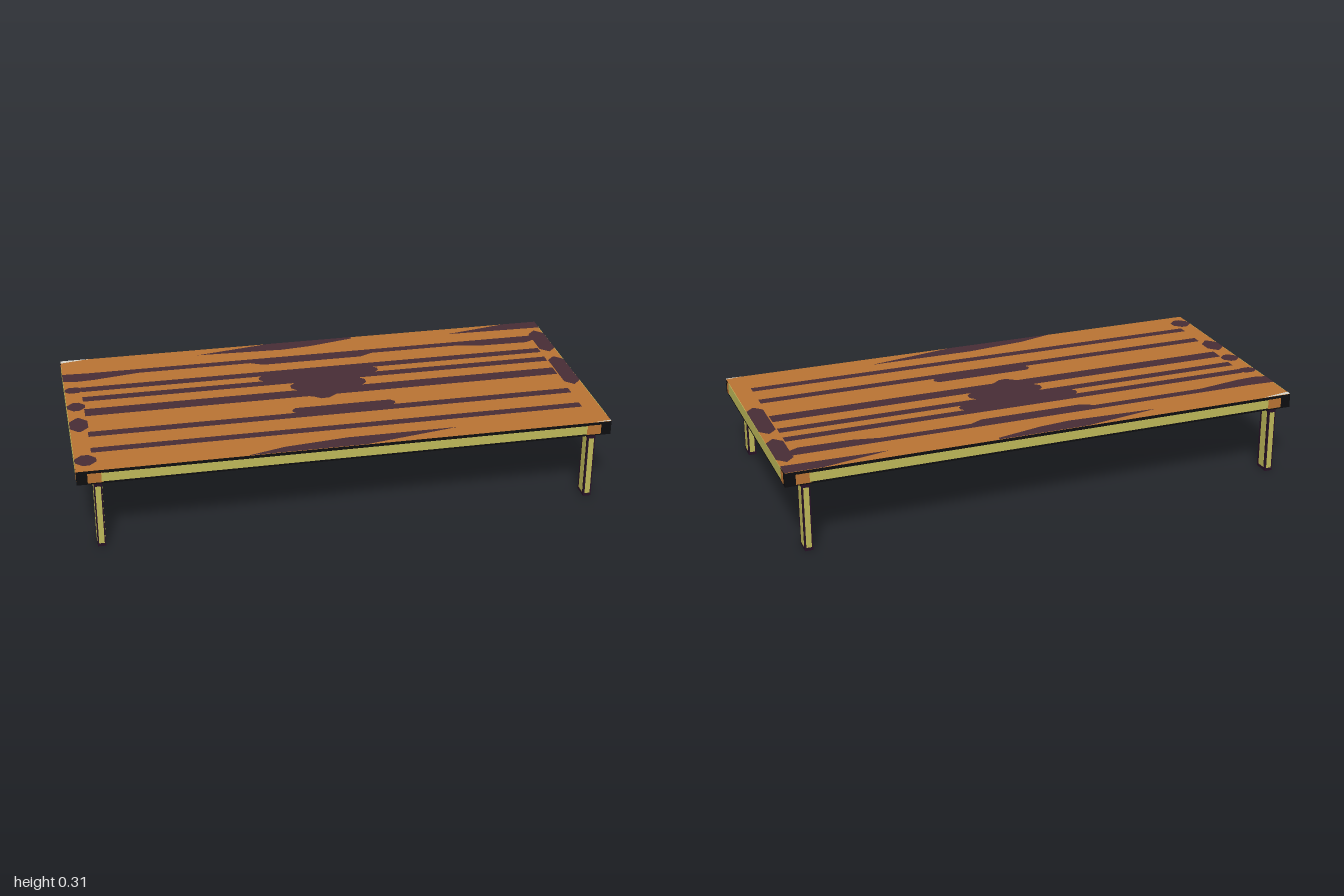
import * as THREE from 'three';

const mat = (name, color) => {
  const m = new THREE.MeshStandardMaterial({ color });
  m.name = name;
  return m;
};

export function createModel() {
  const wood = mat('warm wood', 0xb87333);
  const grain = mat('dark grain', 0x472c35);
  const olive = mat('olive trim', 0xbdb758);
  const black = mat('black frame', 0x0d0d0f);
  const plum = mat('dark plum legs', 0x261126);
  const pale = mat('pale corner', 0xd6d2c8);

  const W = 1.998, D = 0.94, Y0 = 0.26, Y1 = 0.314, T = 0.002;
  const model = new THREE.Group();
  model.name = 'lowTable';

  function box(parent, name, size, pos, material) {
    const mesh = new THREE.Mesh(new THREE.BoxGeometry(...size), material);
    mesh.name = name;
    mesh.position.set(...pos);
    parent.add(mesh);
    return mesh;
  }

  // Table slab: black rim, wood top and underside
  box(model, 'tableSlab', [W, Y1 - Y0, D], [0, (Y0 + Y1) / 2, 0],
    [black, black, wood, wood, black, black]);

  // Flat patch lying on a horizontal surface, outlined in x, z
  function patch(parent, name, points, material) {
    const shape = new THREE.Shape(points.map(([x, z]) => new THREE.Vector2(x, -z)));
    const mesh = new THREE.Mesh(new THREE.ShapeGeometry(shape).rotateX(-Math.PI / 2), material);
    mesh.name = name;
    parent.add(mesh);
  }
  const rect = (x0, x1, z0, z1) => [[x0, z0], [x0, z1], [x1, z1], [x1, z0]];
  // Streak with rounded-off ends
  const streak = (x0, x1, z0, z1) => {
    const c = Math.min(0.03, (z1 - z0) / 3);
    return [[x0, z0 + c], [x0, z1 - c], [x0 + c, z1], [x1 - c, z1],
      [x1, z1 - c], [x1, z0 + c], [x1 - c, z0], [x0 + c, z0]];
  };

  function grainPattern(name) {
    const g = new THREE.Group();
    g.name = name;
    // Long straight streaks
    for (const [z0, z1] of [[-0.21, -0.17], [-0.125, -0.085], [-0.02, 0.04], [0.17, 0.21], [0.298, 0.335]]) {
      patch(g, 'grainStreak', rect(-0.935, 0.93, z0, z1), grain);
    }
    // Wavy streak near the back
    patch(g, 'wavyStreak', [[-1, -0.34], [-1, -0.275], [-0.95, -0.265], [-0.88, -0.27], [-0.7, -0.3],
      [-0.25, -0.3], [-0.2, -0.275], [0.2, -0.275], [0.25, -0.3], [0.6, -0.3], [0.7, -0.28],
      [0.9, -0.275], [0.95, -0.3], [0.95, -0.335], [-0.9, -0.335]], grain);
    // Knots joining the streaks around the middle
    for (const [x, z0, z1, half] of [[0, -0.175, -0.12, 0.24], [0.02, -0.09, -0.015, 0.15], [0.04, 0.13, 0.175, 0.2]]) {
      patch(g, 'grainKnot', streak(x - half, x + half, z0, z1), grain);
    }
    patch(g, 'centreBump', [[-0.11, 0.03], [-0.06, 0.045], [-0.03, 0.068], [0, 0.065], [0.04, 0.035]], grain);
    // Blots along both short edges
    for (const [x0, x1, z0, z1] of [
      [0.935, 0.999, -0.38, -0.17], [0.935, 0.999, -0.12, 0.14],
      [-0.999, -0.93, -0.215, -0.165], [-0.999, -0.93, -0.08, -0.01],
      [-0.999, -0.93, 0.05, 0.165], [-0.999, -0.92, 0.35, 0.43]]) {
      patch(g, 'edgeBlot', streak(x0, x1, z0, z1), grain);
    }
    // Slanted wedges along both long edges
    patch(g, 'edgeWedge', [[-0.45, -0.417], [-0.1, -0.402], [0.02, -0.415], [0.2, -0.455], [0.2, -0.469], [-0.15, -0.469]], grain);
    patch(g, 'edgeWedge', [[0.6, -0.417], [0.999, -0.408], [0.999, -0.469], [0.86, -0.469]], grain);
    patch(g, 'edgeWedge', [[-0.38, 0.469], [0.06, 0.469], [0.42, 0.403], [0, 0.403], [-0.24, 0.43]], grain);
    // Pale worn corners
    patch(g, 'wornCorner', [[-0.999, -0.469], [-0.999, -0.448], [-0.88, -0.469]], pale);
    patch(g, 'wornCorner', [[0.999, 0.469], [0.999, 0.46], [0.93, 0.469]], pale);
    model.add(g);
    return g;
  }
  grainPattern('topGrain').position.y = Y1 + 0.001;
  const under = grainPattern('undersideGrain');
  under.position.y = Y0 - 0.001;
  under.rotation.x = Math.PI;

  for (const s of [1, -1]) {
    // Long rim trim with wood patches at its ends
    box(model, 'longTrim', [1.82, 0.034, T], [0, 0.285, s * D / 2], olive);
    // Short rim trim with wood patches at its ends
    box(model, 'shortTrim', [T, 0.046, 0.84], [s * W / 2, 0.291, 0], olive);
    for (const e of [1, -1]) {
      box(model, 'longTrimEnd', [0.055, 0.038, T], [e * 0.932, 0.284, s * D / 2], wood);
      box(model, 'shortTrimEnd', [T, 0.042, 0.03], [s * W / 2, 0.286, e * 0.435], wood);

      // Flat legs with olive panels on all four sides
      const leg = new THREE.Group();
      leg.name = 'leg';
      leg.position.set(s * 0.925, Y0 / 2, e * 0.438);
      box(leg, 'legPost', [0.03, Y0, 0.063], [0, 0, 0], plum);
      for (const f of [1, -1]) {
        box(leg, 'legWidePanel', [T, 0.235, 0.037], [f * 0.015, 0, 0], olive);
        box(leg, 'legNarrowPanel', [0.02, 0.235, T], [0, 0, f * 0.0315], olive);
      }
      model.add(leg);
    }
  }
  return model;
}
